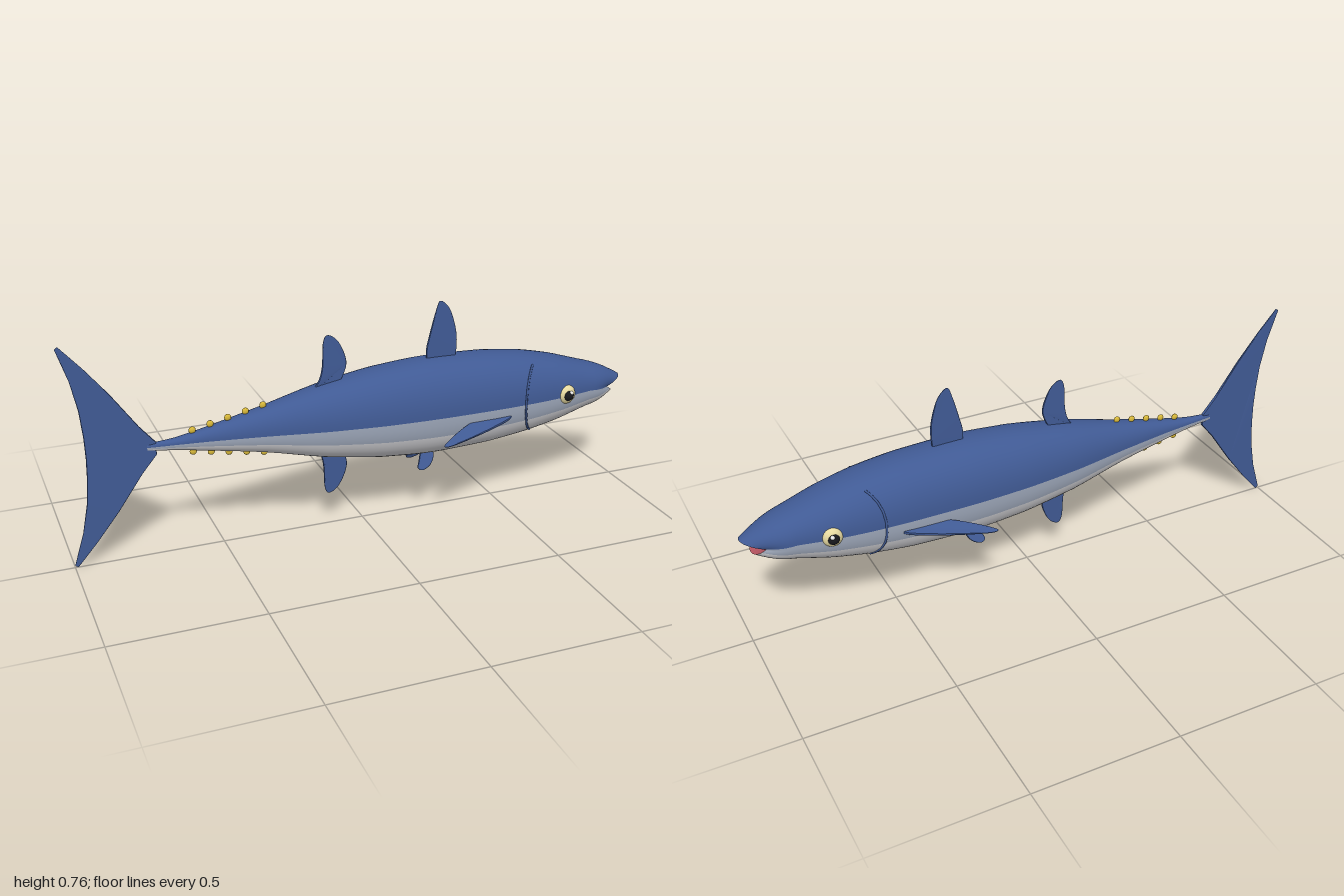
import * as THREE from 'three';

const mat = (name, color) => {
  const m = new THREE.MeshStandardMaterial({ color });
  m.name = name;
  return m;
};

export function createModel() {
  const root = new THREE.Group();
  root.name = 'fish';
  const navy = mat('navy back', 0x405a94);
  const band = mat('blue grey flank', 0x9ca6b8);
  const belly = mat('pale belly', 0xcfcfd3);
  const red = mat('red mouth', 0xb5535f);
  const yellow = mat('yellow finlet', 0xd9b93a);
  const cream = mat('cream eye', 0xe6d9a0);
  const black = mat('black pupil', 0x17181c);
  const white = mat('white glint', 0xf5f5f5);

  const add = (name, geometry, material, parent = root) => {
    const mesh = new THREE.Mesh(geometry, material);
    mesh.name = name;
    parent.add(mesh);
    return mesh;
  };

  // Body profile: x, top, bottom, half width
  const profile = [
    [-0.74, 0.397, 0.373, 0.008], [-0.65, 0.403, 0.363, 0.018], [-0.55, 0.422, 0.346, 0.03],
    [-0.35, 0.467, 0.31, 0.062], [-0.15, 0.516, 0.263, 0.1], [0.05, 0.548, 0.232, 0.124],
    [0.25, 0.561, 0.22, 0.133], [0.45, 0.555, 0.227, 0.132], [0.6, 0.537, 0.245, 0.125],
    [0.72, 0.51, 0.268, 0.112], [0.84, 0.472, 0.3, 0.089],
  ];
  const sizes = new THREE.CatmullRomCurve3(profile.map(p => new THREE.Vector3(p[1], p[2], p[3])));
  const stations = new THREE.CatmullRomCurve3(profile.map(p => new THREE.Vector3(p[0], 0, 0)));
  const midY = 0.386;
  const section = (t, a) => {
    const s = sizes.getPoint(t), x = stations.getPoint(t).x;
    const bend = v => Math.sign(v) * Math.abs(v) ** 0.9;
    const h = Math.sin(a) >= 0 ? s.x - midY : midY - s.y;
    return new THREE.Vector3(x, midY + h * bend(Math.sin(a)), s.z * bend(Math.cos(a)));
  };
  // Mouth rim: the upper jaw reaches further than the lower one
  const rim = a => {
    const s = Math.sin(a);
    return new THREE.Vector3(0.93 + (s > 0 ? 0.07 : 0.038) * Math.abs(s), 0.375 + 0.027 * s, 0.05 * Math.cos(a));
  };

  const N = 48, R = 40, J = 6;
  const angle = j => (j / N) * Math.PI * 2;
  const pos = [];
  const push = v => pos.push(v.x, v.y, v.z);
  for (let j = 0; j < N; j++) pos.push(-0.742, midY, 0);
  for (let i = 0; i <= R; i++) for (let j = 0; j < N; j++) push(section(i / R, angle(j)));
  for (let k = 1; k <= J; k++) {
    const t = k / J, bulge = 0.008 * Math.sin(Math.PI * t);
    for (let j = 0; j < N; j++) {
      const a = angle(j), p = section(1, a).lerp(rim(a), t);
      p.y += bulge * Math.sin(a);
      p.z += bulge * Math.cos(a);
      push(p);
    }
  }
  const body = new THREE.BufferGeometry();
  const index = [];
  const rings = R + J + 1;
  for (let j = 0; j < N; j++) {
    const n = (j + 1) % N;
    for (let i = 0; i < rings; i++) {
      const a = i * N + j, b = a + N, c = i * N + n, d = c + N;
      index.push(a, b, c, b, d, c);
    }
  }
  body.setAttribute('position', new THREE.Float32BufferAttribute(pos, 3));
  body.setIndex(index);
  body.computeVertexNormals();
  // Lengthwise colour strips: back, flank, belly, flank
  [[0, 24, 0], [24, 27, 1], [27, 45, 2], [45, 48, 1]].forEach(([from, to, m]) =>
    body.addGroup(from * rings * 6, (to - from) * rings * 6, m));
  add('body', body, [navy, band, belly]);

  // Hollow mouth lining
  const lining = [];
  for (let j = 0; j < N; j++) {
    lining.push(0.9, 0.375, 0, ...rim(angle(j + 1)).toArray(), ...rim(angle(j)).toArray());
  }
  const mouth = new THREE.BufferGeometry();
  mouth.setAttribute('position', new THREE.Float32BufferAttribute(lining, 3));
  mouth.computeVertexNormals();
  add('mouth', mouth, red);

  // Fin blade, thinning away from its root point
  const fin = (name, points, [rx, ry], reach, smooth = true) => {
    const pts = points.map(p => new THREE.Vector2(...p));
    const shape = new THREE.Shape();
    shape.moveTo(pts[0].x, pts[0].y);
    if (smooth) shape.splineThru(pts.slice(1));
    else pts.slice(1).forEach(p => shape.lineTo(p.x, p.y));
    shape.closePath();
    const g = new THREE.ExtrudeGeometry(shape, {
      depth: 0.006, bevelEnabled: true, bevelSize: 0.004, bevelOffset: -0.004,
      bevelThickness: 0.003, bevelSegments: 2, curveSegments: 5,
    });
    g.translate(0, 0, -0.003);
    const p = g.attributes.position;
    for (let i = 0; i < p.count; i++) {
      const d = Math.min(1, Math.hypot(p.getX(i) - rx, p.getY(i) - ry) / reach);
      p.setZ(i, p.getZ(i) * (1.15 - 0.8 * d));
    }
    g.computeVertexNormals();
    return add(name, g, navy);
  };

  fin('firstDorsalFin', [[0.235, 0.54], [0.234, 0.59], [0.246, 0.645], [0.266, 0.72], [0.283, 0.757],
    [0.318, 0.725], [0.342, 0.65], [0.346, 0.59], [0.34, 0.54]], [0.29, 0.56], 0.2);
  const rear = [[-0.185, 0.49], [-0.155, 0.53], [-0.142, 0.58], [-0.138, 0.66], [-0.122, 0.686],
    [-0.088, 0.664], [-0.062, 0.61], [-0.06, 0.565], [-0.09, 0.5]];
  fin('secondDorsalFin', rear, [-0.11, 0.52], 0.17);
  fin('analFin', rear.map(([x, y]) => [x, 0.8 - y]), [-0.11, 0.28], 0.17);

  // Forked tail, mirrored about the middle line
  const half = [[-0.71, 0.4], [-0.76, 0.46], [-0.845, 0.582], [-0.92, 0.677], [-0.99, 0.757],
    [-1, 0.75], [-0.965, 0.64], [-0.945, 0.54], [-0.937, 0.45]];
  const lower = half.map(([x, y]) => [x, 0.757 - y]).reverse();
  fin('tailFin', [...half, [-0.935, 0.378], ...lower], [-0.72, 0.378], 0.45, false);

  for (const side of [1, -1]) {
    const label = side > 0 ? 'right' : 'left';

    const pectoral = fin(label + 'PectoralFin', [[0.51, -0.01], [0.5, 0.015], [0.43, 0.045], [0.33, 0.078],
      [0.24, 0.102], [0.212, 0.1], [0.235, 0.078], [0.3, 0.035], [0.37, 0], [0.42, -0.015]], [0.46, 0], 0.28);
    pectoral.position.set(0, 0.353, side * 0.117);
    pectoral.rotation.x = side * 1.91;

    const pelvic = fin(label + 'PelvicFin', [[0.25, -0.015], [0.252, 0.015], [0.235, 0.045], [0.205, 0.06],
      [0.187, 0.05], [0.195, 0.025], [0.21, -0.015]], [0.235, 0], 0.09);
    pelvic.position.set(0, 0.222, side * 0.03);
    pelvic.rotation.x = side * 2.66;

    // Gill slit following the body surface
    const slit = [];
    for (let k = 0; k <= 16; k++) {
      const a = -0.95 + (k / 16) * 1.9;
      const x = 0.56 + 0.045 * (a / 0.95) ** 2;
      let t = 0.5;
      for (let s = 0.25; s > 0.0005; s /= 2) t += stations.getPoint(t).x < x ? s : -s;
      const p = section(t, a);
      p.z *= side;
      slit.push(p);
    }
    add(label + 'GillSlit', new THREE.TubeGeometry(new THREE.CatmullRomCurve3(slit), 32, 0.004, 6), navy);

    // Eye
    const eye = new THREE.Group();
    eye.name = label + 'Eye';
    root.add(eye);
    const ball = (name, r, x, y, z, m, flat = 1) => {
      const b = add(name, new THREE.SphereGeometry(r, 24, 16), m, eye);
      b.position.set(x, y, side * z);
      b.scale.z = flat;
    };
    ball('eyeball', 0.035, 0.73, 0.393, 0.1, cream, 0.72);
    ball('pupil', 0.021, 0.732, 0.393, 0.112, black);
    ball('glint', 0.007, 0.738, 0.405, 0.126, white);
  }

  // Finlets along the tail stalk, above and below
  for (let i = 0; i < 5; i++) {
    const x = -0.59 + i * 0.06;
    for (const [name, y] of [['upperFinlet', 0.422 + i * 0.013], ['lowerFinlet', 0.347 - i * 0.01]]) {
      const f = add(name, new THREE.SphereGeometry(0.012, 12, 8), yellow);
      f.position.set(x, y, 0);
      f.scale.z = 0.6;
    }
  }
  return root;
}
